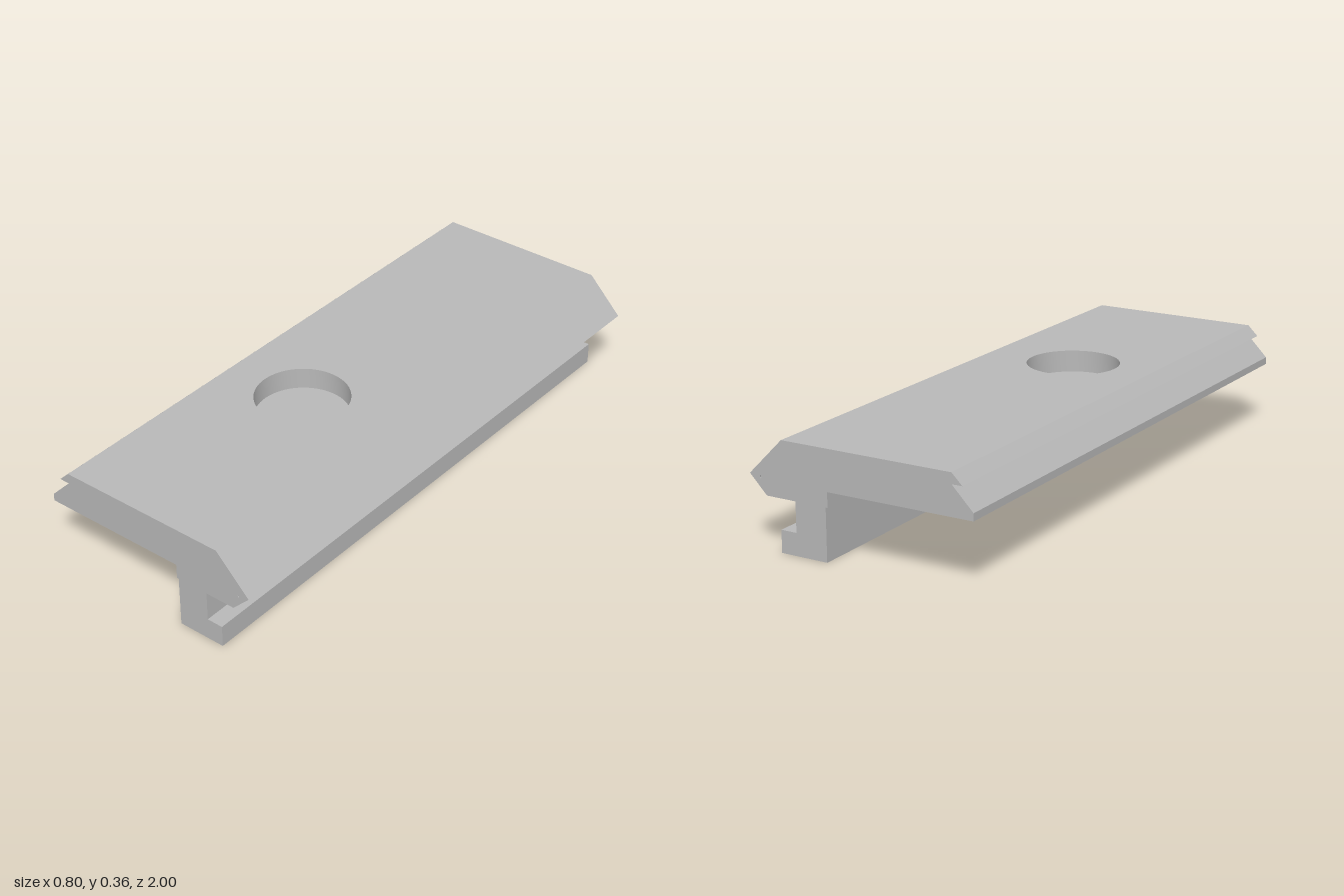
import * as THREE from 'three';
import { toCreasedNormals } from 'three/addons/utils/BufferGeometryUtils.js';

const LENGTH = 2, TOP = 0.362, POCKET_FLOOR = 0.287;
const INLAY_LEFT = -0.25, INLAY_RIGHT = 0.18;

const shapeFrom = (points) => new THREE.Shape(points.map(([x, y]) => new THREE.Vector2(x, y)));

export function createModel() {
  const group = new THREE.Group();
  group.name = 'clampRail';
  const metal = new THREE.MeshStandardMaterial({ color: 0xb8b8b8 });
  metal.name = 'greyMetal';

  const add = (name, geometry) => {
    const mesh = new THREE.Mesh(toCreasedNormals(geometry, 0.5), metal);
    mesh.name = name;
    group.add(mesh);
  };

  // Rail section: plate, hooked foot and a channel that receives the drilled inlay
  const section = shapeFrom([
    [-0.402, 0.226], [0.114, 0.226], [0.114, 0.176], [0.121, 0.176],
    [0.121, 0], [0.29, 0], [0.29, 0.075], [0.233, 0.075],
    [0.233, 0.176], [0.34, 0.176], [0.402, 0.239], [0.28, TOP],
    [INLAY_RIGHT, TOP], [INLAY_RIGHT, POCKET_FLOOR],
    [INLAY_LEFT, POCKET_FLOOR], [INLAY_LEFT, TOP],
    [-0.328, TOP], [-0.365, 0.326], [-0.328, 0.326], [-0.402, 0.251],
  ]);

  // Tiny bore running along the pointed edge
  section.holes.push(shapeFrom([[0.362, 0.226], [0.359, 0.232], [0.362, 0.238], [0.365, 0.232]]));

  const rail = new THREE.ExtrudeGeometry(section, { depth: LENGTH, bevelEnabled: false });
  rail.translate(0, 0, -LENGTH / 2);
  add('railBody', rail);

  // Top inlay with the round blind pocket
  const inlay = shapeFrom([
    [INLAY_LEFT, -LENGTH / 2], [INLAY_RIGHT, -LENGTH / 2],
    [INLAY_RIGHT, LENGTH / 2], [INLAY_LEFT, LENGTH / 2],
  ]);
  inlay.holes.push(new THREE.Path().absarc(-0.036, -0.222, 0.159, 0, Math.PI * 2, true));
  const plate = new THREE.ExtrudeGeometry(inlay, {
    depth: TOP - POCKET_FLOOR, bevelEnabled: false, curveSegments: 32,
  });
  plate.rotateX(-Math.PI / 2);
  plate.translate(0, POCKET_FLOOR, 0);
  add('pocketPlate', plate);

  return group;
}
